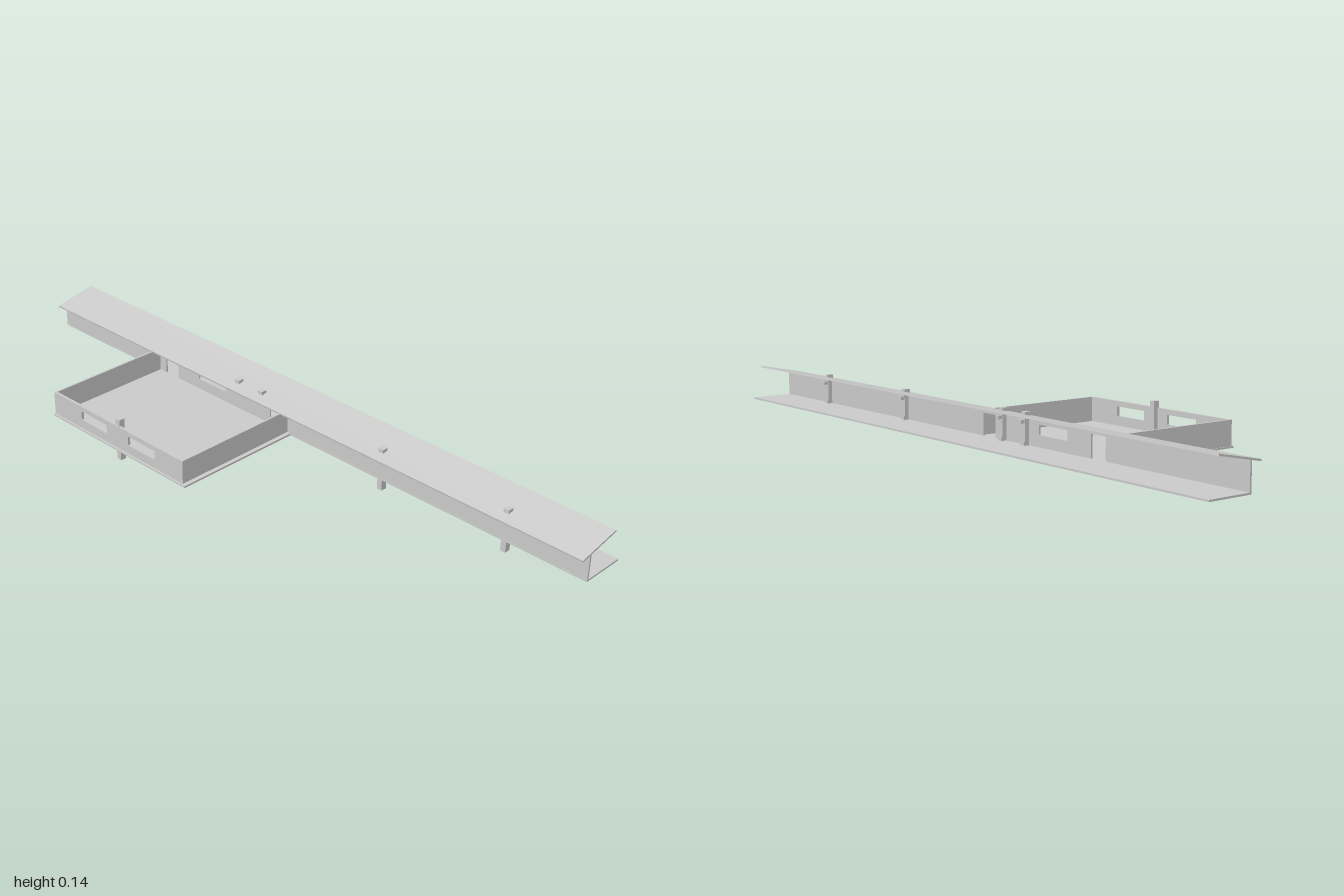
import * as THREE from 'three';

export function createModel() {
  const model = new THREE.Group();
  const mat = new THREE.MeshStandardMaterial({ color: 0xcccccc });

  function add(name, geometry) {
    const mesh = new THREE.Mesh(geometry, mat);
    mesh.name = name;
    model.add(mesh);
    return mesh;
  }

  // Box given by its minimum and maximum corners
  function box(name, x0, x1, y0, y1, z0, z1) {
    const mesh = add(name, new THREE.BoxGeometry(x1 - x0, y1 - y0, z1 - z0));
    mesh.position.set((x0 + x1) / 2, (y0 + y1) / 2, (z0 + z1) / 2);
    return mesh;
  }

  const trace = (path, z0, z1, y0, y1) =>
    path.moveTo(z0, y0).lineTo(z1, y0).lineTo(z1, y1).lineTo(z0, y1).closePath();

  // Wall running along z, with rectangular openings [z0, z1, y0, y1]
  function wall(name, x0, x1, y0, y1, z0, z1, openings) {
    const shape = new THREE.Shape();
    trace(shape, z0, z1, y0, y1);
    for (const o of openings) {
      const hole = new THREE.Path();
      trace(hole, ...o);
      shape.holes.push(hole);
    }
    const geometry = new THREE.ExtrudeGeometry(shape, { depth: x1 - x0, bevelEnabled: false });
    geometry.rotateY(-Math.PI / 2);
    add(name, geometry).position.x = x1;
  }

  // Floors: long platform and the room behind it
  const floorY = 0.038;
  box('platformFloor', 0.134, 0.266, 0.033, floorY, -1, 1);
  box('roomFloor', -0.268, 0.134, 0.033, floorY, -0.558, 0);

  // Long wall with two doorways and a window into the room
  wall('platformWall', 0.135, 0.14, 0.036, 0.111, -1, 1, [
    [-0.083, -0.03, floorY, 0.1],
    [-0.523, -0.469, floorY, 0.1],
    [-0.378, -0.265, 0.07, 0.097],
  ]);

  // Open-topped room
  wall('roomOuterWall', -0.262, -0.254, floorY, 0.107, -0.556, -0.013, [
    [-0.435, -0.325, 0.065, 0.092],
    [-0.235, -0.125, 0.065, 0.092],
  ]);
  box('roomFrontWall', -0.262, 0.136, floorY, 0.107, -0.019, -0.013);
  box('roomBackWall', -0.262, 0.136, floorY, 0.107, -0.556, -0.55);

  // Sloping canopy over the platform
  const canopy = add('canopy', new THREE.BoxGeometry(0.136, 0.005, 2));
  canopy.position.set(0.172, 0.12, 0);
  canopy.rotation.z = Math.atan(0.2);

  // Posts passing through floor and canopy, with foot blocks and arms
  for (const z of [0.748, 0.333, -0.122, -0.217]) {
    box('platformPost', 0.135, 0.153, 0, 0.126, z - 0.008, z + 0.008);
    box('postFoot', 0.144, 0.156, 0.03, 0.05, z - 0.008, z + 0.008);
    box('postArm', 0.15, 0.165, 0.096, 0.106, z - 0.006, z + 0.006);
  }
  box('roomPost', -0.259, -0.241, 0, 0.126, -0.288, -0.272);

  return model;
}
